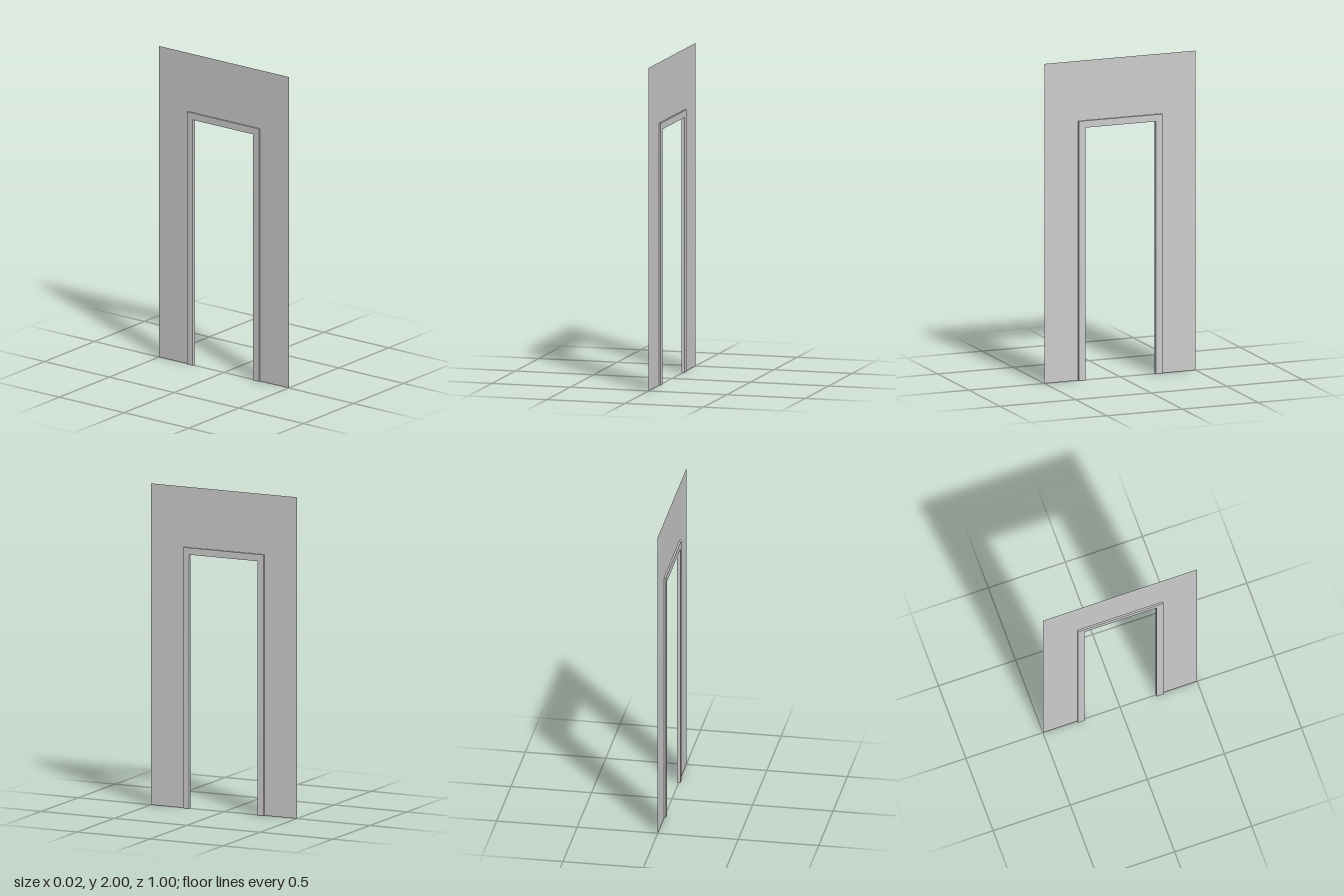
import * as THREE from 'three';

// Upside-down U outline: outer rectangle with a doorway open at the floor
function archShape(outerHalf, outerTop, innerHalf, innerTop) {
  return new THREE.Shape([
    [-outerHalf, 0], [-innerHalf, 0], [-innerHalf, innerTop], [innerHalf, innerTop],
    [innerHalf, 0], [outerHalf, 0], [outerHalf, outerTop], [-outerHalf, outerTop],
  ].map(([x, y]) => new THREE.Vector2(x, y)));
}

export function createModel() {
  const group = new THREE.Group();
  const frameHalf = 0.277, frameTop = 1.624, trim = 0.043, depth = 0.022;

  // Thin wall panel lying in the x = 0 plane
  const wall = new THREE.Mesh(
    new THREE.ShapeGeometry(archShape(0.5, 2, frameHalf, frameTop)),
    new THREE.MeshStandardMaterial({ color: 0xcccccc, side: THREE.DoubleSide })
  );
  wall.name = 'wallPanel';

  // Door frame lining the opening, standing slightly proud on both faces
  const frameGeometry = new THREE.ExtrudeGeometry(
    archShape(frameHalf, frameTop, frameHalf - trim, frameTop - trim),
    { depth, bevelEnabled: false }
  );
  frameGeometry.translate(0, 0, -depth / 2);
  const frame = new THREE.Mesh(frameGeometry, new THREE.MeshStandardMaterial({ color: 0xcccccc }));
  frame.name = 'doorFrame';

  // Turn both parts so the doorway runs along x
  for (const part of [wall, frame]) {
    part.geometry.rotateY(Math.PI / 2);
    group.add(part);
  }
  return group;
}
